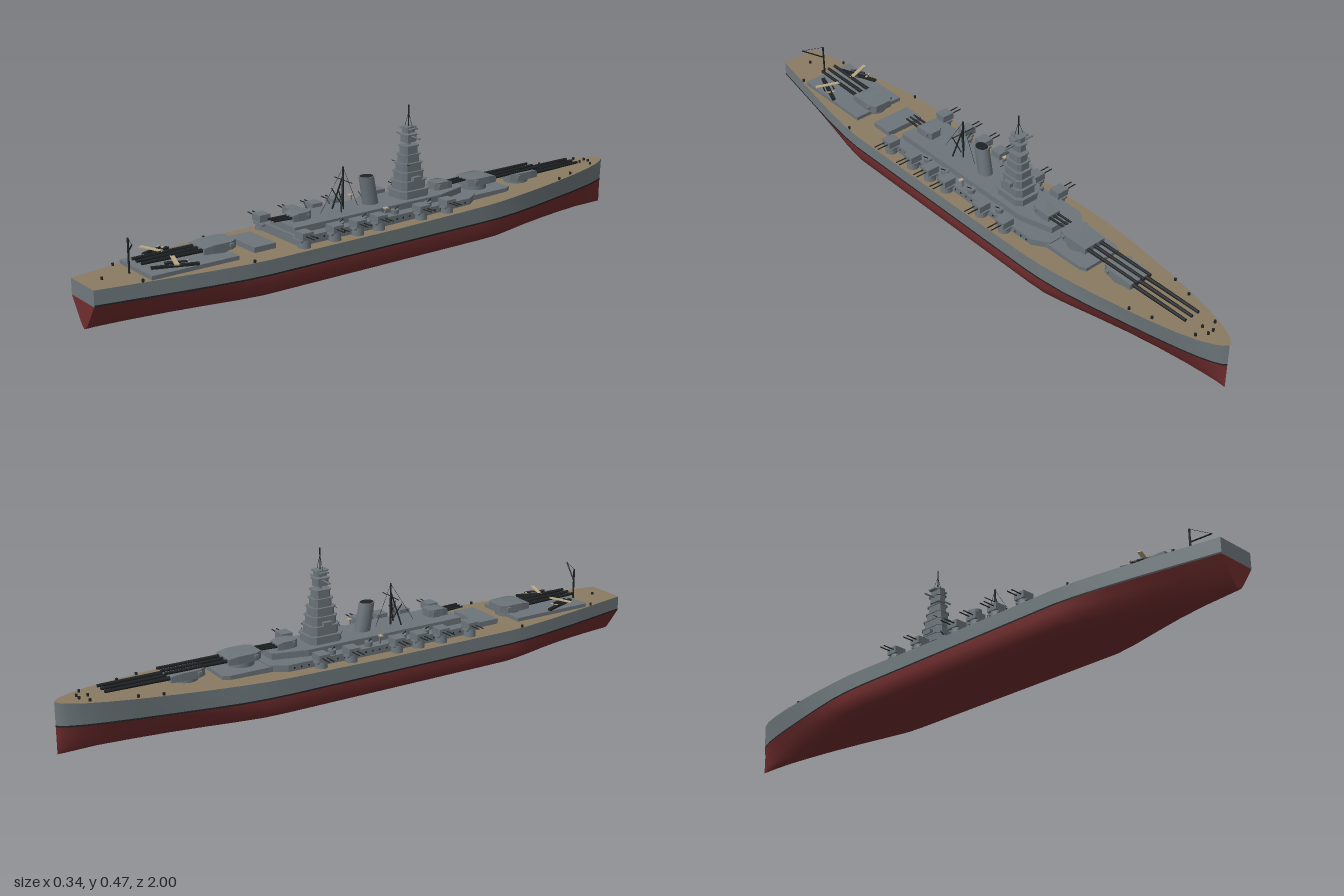
import * as THREE from 'three';

const mat = (name, color) => Object.assign(new THREE.MeshStandardMaterial({ color }), { name });

export function createModel() {
  const grey = mat('superstructure grey', 0x6c757b), hullGrey = mat('hull grey', 0x6f797d);
  const red = mat('antifouling red', 0x702d2e), wood = mat('deck wood', 0x8a7a62);
  const dark = mat('gunmetal black', 0x1f2224), tan = mat('aircraft tan', 0xb8a685);
  const ship = new THREE.Group();
  ship.name = 'battleship';

  const add = (name, geo, m, x = 0, y = 0, z = 0, parent = ship) => {
    const o = new THREE.Mesh(geo, m);
    o.name = name;
    o.position.set(x, y, z);
    parent.add(o);
    return o;
  };
  const group = (name, x, y, z, parent = ship) => {
    const g = new THREE.Group();
    g.name = name;
    g.position.set(x, y, z);
    parent.add(g);
    return g;
  };
  const box = (name, m, w, y0, y1, z0, z1, x = 0, parent = ship) =>
    add(name, new THREE.BoxGeometry(w, y1 - y0, z1 - z0), m, x, (y0 + y1) / 2, (z0 + z1) / 2, parent);
  // thin round bar between two points
  const rod = (name, a, b, r = 0.002, parent = ship, m = dark, r2 = r, sides = 8) => {
    const p = new THREE.Vector3(...a), q = new THREE.Vector3(...b), d = q.clone().sub(p);
    const o = add(name, new THREE.CylinderGeometry(r2, r, d.length(), sides), m, 0, 0, 0, parent);
    o.position.copy(p).add(q).multiplyScalar(0.5);
    o.quaternion.setFromUnitVectors(new THREE.Vector3(0, 1, 0), d.normalize());
    return o;
  };
  // vertical prism from half of a plan outline, [half width, z] listed bow to stern
  const prism = (name, m, half, y0, y1, parent = ship) => {
    const pts = [...half.map(([x, z]) => [x, -z]), ...half.slice().reverse().map(([x, z]) => [-x, -z])];
    const g = new THREE.ExtrudeGeometry(new THREE.Shape(pts.map(p => new THREE.Vector2(...p))),
      { depth: y1 - y0, bevelEnabled: false });
    g.rotateX(-Math.PI / 2);
    return add(name, g, m, 0, y0, 0, parent);
  };
  const chamfered = (w, z0, z1, c) => [[w - c, z0], [w, z0 + c], [w, z1 - c], [w - c, z1]];

  // ---- hull lofted through stations [z, half width]
  const stations = [[-1, 0.001], [-0.99, 0.015], [-0.97, 0.029], [-0.93, 0.048], [-0.87, 0.067], [-0.78, 0.088],
    [-0.68, 0.106], [-0.58, 0.122], [-0.48, 0.135], [-0.4, 0.143], [-0.33, 0.146], [0, 0.146], [0.48, 0.146],
    [0.56, 0.14], [0.66, 0.126], [0.76, 0.109], [0.88, 0.087], [1, 0.065]];
  const deckY = z => 0.131 + 0.027 * Math.pow(Math.max(0, (0.15 - z) / 1.15), 1.6);
  const waterW = (z, w) => w * (1 - 0.25 * Math.max(0, (-0.5 - z) / 0.5));
  const mid = [[1, 0.083], [1, 0.06], [0.96, 0.04], [0.87, 0.022], [0.7, 0.011], [0, 0.002]];
  const end = [[1, 0.083], [0.76, 0.06], [0.52, 0.037], [0.29, 0.016], [0.14, 0.005], [0, 0]];
  const bottom = (z, w) => {
    const k = THREE.MathUtils.clamp(Math.max((-0.4 - z) / 0.6, (z - 0.5) / 0.5), 0, 1);
    const side = mid.map(([fx, y], i) => [waterW(z, w) * THREE.MathUtils.lerp(fx, end[i][0], k),
      THREE.MathUtils.lerp(y, end[i][1], k)]);
    return [...side, ...side.slice(0, -1).reverse().map(([x, y]) => [-x, y])];
  };
  const loft = (name, m, section) => {
    const pos = [], idx = [];
    const n = section(...stations[0]).length;
    stations.forEach(([z, w], i) => {
      section(z, w).forEach(([x, y], j) => {
        pos.push(x, y, z);
        if (i && j) {
          const d = i * n + j, b = d - n;
          idx.push(b - 1, d - 1, b, b, d - 1, d);
        }
      });
    });
    const g = new THREE.BufferGeometry();
    g.setAttribute('position', new THREE.Float32BufferAttribute(pos, 3));
    g.setIndex(idx);
    g.computeVertexNormals();
    return add(name, g, m);
  };
  loft('lowerHull', red, bottom);
  loft('deck', wood, (z, w) => [[-w, deckY(z)], [w, deckY(z)]]);
  for (const s of [1, -1]) {
    const strip = (pts) => (s > 0 ? pts : pts.map(([x, y]) => [-x, y]).reverse());
    loft('hullSide', hullGrey, (z, w) => strip([[w, deckY(z)], [waterW(z, w), 0.088]]));
    loft('waterlineBand', dark, (z, w) => strip([[waterW(z, w), 0.088], [waterW(z, w), 0.083]]));
  }
  const flat = pts => new THREE.ShapeGeometry(new THREE.Shape(pts.map(p => new THREE.Vector2(...p))));
  add('transomLower', flat(bottom(1, 0.065)), red, 0, 0, 1);
  add('transomUpper', flat([[-0.065, 0.083], [0.065, 0.083], [0.065, 0.131], [-0.065, 0.131]]), hullGrey, 0, 0, 1);

  // ---- deckhouses
  prism('forwardDeckhouse', grey, [[0.065, -0.51], [0.075, -0.49], [0.075, -0.33], [0.06, -0.3]], 0.13, 0.154);
  prism('mainDeckhouse', grey, [[0.068, -0.36], [0.1, -0.31], [0.1, 0.35]], 0.125, 0.158);
  prism('upperDeckhouse', grey, [[0.035, -0.33], [0.065, -0.22], [0.065, 0.34]], 0.158, 0.178);
  box('aftPlatform', grey, 0.18, 0.125, 0.143, 0.55, 0.835);
  box('aftHatchHouse', grey, 0.136, 0.125, 0.148, 0.41, 0.485);
  const bead = new THREE.BoxGeometry(0.004, 0.005, 0.005);
  for (const s of [1, -1]) {
    for (let i = 0; i < 26; i++) add('deckhousePort', bead, dark, s * 0.099, 0.146, -0.29 + i * 0.025);
  }

  // ---- gun turrets; dir -1 points to the bow, +1 to the stern
  const turret = (name, z, base, deck, dir, k, r, len) => {
    const g = group(name, 0, base, z);
    if (dir > 0) g.rotation.y = Math.PI;
    add('barbette', new THREE.CylinderGeometry(0.04 * k, 0.04 * k, base - deck, 24), grey, 0, (deck - base) / 2, 0, g);
    const body = prism('gunhouse', grey, [[0.04, -0.06], [0.043, -0.03], [0.043, 0.03], [0.03, 0.052]]
      .map(([x, zz]) => [x * k, zz * k]), 0, 0.024, g);
    // slope the roof down towards the guns
    const p = body.geometry.attributes.position;
    for (let i = 0; i < p.count; i++) if (p.getY(i) > 0.01 && p.getZ(i) < -0.05 * k) p.setY(i, 0.019);
    body.geometry.computeVertexNormals();
    box('rangefinder', grey, 0.1 * k, 0.012, 0.02, 0.022 * k, 0.034 * k, 0, g);
    for (const x of [-0.026, 0, 0.026]) {
      rod('gunBarrel', [x * k, 0.011, -0.05 * k], [x * k, 0.013, -len], r, g, dark, r * 0.75, 10);
    }
  };
  turret('forwardTurret', -0.6, 0.155, 0.13, -1, 1, 0.0065, 0.26);
  turret('raisedForwardTurret', -0.415, 0.17, 0.14, -1, 1, 0.006, 0.26);
  turret('aftTurret', 0.575, 0.148, 0.13, 1, 1, 0.0065, 0.255);
  turret('forwardSecondaryTurret', -0.265, 0.178, 0.15, -1, 0.6, 0.004, 0.11);
  turret('aftSecondaryTurret', 0.28, 0.18, 0.15, 1, 0.6, 0.004, 0.1);

  // ---- twin mounts along both sides
  for (const s of [1, -1]) {
    for (const z of [-0.205, -0.1, 0.065, 0.145, 0.23, 0.34]) {
      const m = group('sideGunMount', s * 0.112, 0.158, z);
      add('pedestal', new THREE.CylinderGeometry(0.017, 0.02, 0.03, 14), grey, 0, -0.014, 0, m);
      box('sponson', grey, 0.05, -0.008, -0.002, -0.022, 0.022, -s * 0.012, m);
      box('gunShield', grey, 0.042, 0, 0.022, -0.019, 0.019, 0, m);
      for (const dz of [-0.008, 0.008]) rod('gunBarrel', [s * 0.018, 0.012, dz], [s * 0.06, 0.013, dz], 0.0018, m);
    }
    for (const z of [-0.15, -0.02, 0.105, 0.19]) {
      add('lightGunTub', new THREE.CylinderGeometry(0.013, 0.012, 0.014, 14), grey, s * 0.083, 0.165, z);
      rod('lightGun', [s * 0.083, 0.172, z], [s * 0.1, 0.186, z], 0.0015);
    }
    rod('directorPost', [s * 0.085, 0.158, 0.02], [s * 0.085, 0.186, 0.02], 0.003, ship, grey);
    box('director', tan, 0.014, 0.183, 0.187, 0.014, 0.026, s * 0.09);
  }

  // ---- pagoda tower: stacked tiers [half width, y0, y1]
  const tower = group('bridgeTower', 0, 0, -0.14);
  [[0.047, 0.178, 0.203], [0.04, 0.203, 0.232], [0.035, 0.232, 0.26], [0.031, 0.26, 0.287], [0.026, 0.287, 0.314],
    [0.022, 0.314, 0.341], [0.019, 0.351, 0.376], [0.016, 0.381, 0.4]].forEach(([w, y0, y1]) => {
    const d = w * 1.2;
    prism('towerTier', grey, chamfered(w - 0.002, -d, d, w * 0.35), y0, y1 - 0.004, tower);
    prism('tierGallery', grey, chamfered(w + 0.001, -d - 0.003, d + 0.003, w * 0.35), y1 - 0.004, y1, tower);
  });
  rod('towerCore', [0, 0.33, 0], [0, 0.39, 0], 0.006, tower, grey);
  rod('mainRangefinder', [-0.056, 0.369, 0], [0.056, 0.369, 0], 0.003, tower, grey);
  box('topPlatform', grey, 0.056, 0.392, 0.396, -0.014, 0.014, 0, tower);
  rod('topMast', [0, 0.4, 0], [0, 0.467, 0], 0.0018, tower);
  for (const s of [1, -1]) {
    rod('mastStay', [s * 0.017, 0.4, 0], [0, 0.445, 0], 0.0006, tower);
    rod('signalYard', [0, 0.286, 0.03], [s * 0.045, 0.286, 0.03], 0.001, tower);
    box('searchlightWing', grey, 0.02, 0.232, 0.245, -0.015, 0.015, s * 0.036, tower);
  }

  // ---- raked funnel
  const funnel = new THREE.CylinderGeometry(0.021, 0.022, 0.095, 28);
  funnel.scale(1, 1, 1.2);
  const fp = funnel.attributes.position;
  for (let i = 0; i < fp.count; i++) fp.setZ(i, fp.getZ(i) + 0.18 * fp.getY(i));
  funnel.computeVertexNormals();
  add('funnel', funnel, grey, 0, 0.22, 0.018);
  const cap = add('funnelMouth', new THREE.CylinderGeometry(0.018, 0.018, 0.003, 28), dark, 0, 0.267, 0.0265);
  cap.scale.z = 1.2;

  // ---- tripod main mast with yard and stays
  rod('mainMast', [0, 0.178, 0.115], [0, 0.312, 0.115], 0.0028);
  rod('mastYard', [-0.045, 0.27, 0.115], [0.045, 0.27, 0.115], 0.0014);
  for (const s of [1, -1]) {
    rod('mastLeg', [s * 0.023, 0.178, 0.14], [0, 0.285, 0.115], 0.0025);
    rod('mastBoom', [s * 0.004, 0.195, 0.12], [s * 0.018, 0.245, 0.145], 0.0018);
  }
  rod('foreStay', [0, 0.31, 0.115], [0, 0.18, 0.06], 0.0006);
  rod('aftStay', [0, 0.31, 0.115], [0, 0.18, 0.2], 0.0006);

  // ---- stern aircraft crane
  rod('cranePost', [0, 0.13, 0.855], [0, 0.235, 0.855], 0.003);
  rod('craneBoom', [0, 0.195, 0.855], [0.068, 0.237, 0.88], 0.0022);
  rod('craneCable', [0, 0.235, 0.855], [0.068, 0.237, 0.88], 0.0006);

  // ---- catapults and floatplanes
  for (const s of [1, -1]) {
    const c = group('catapult', s * 0.064, 0.143, 0.745);
    c.rotation.y = -s * 0.36;
    box('catapultRail', dark, 0.012, 0.001, 0.008, -0.068, 0.068, 0, c);
    rod('fuselage', [0, 0.015, -0.04], [0, 0.015, 0.03], 0.003, c, dark, 0.005);
    box('wing', tan, 0.085, 0.019, 0.022, -0.005, 0.008, 0, c);
    box('tailplane', tan, 0.024, 0.015, 0.017, -0.04, -0.034, 0, c);
    for (const dx of [-0.016, 0.016]) rod('float', [dx, 0.01, -0.015], [dx, 0.01, 0.025], 0.0025, c);
  }

  // ---- deck fittings
  const bollard = new THREE.CylinderGeometry(0.004, 0.004, 0.008, 10);
  for (const s of [1, -1]) {
    for (const [x, z] of [[0.01, -0.93], [0.04, -0.91], [0.075, -0.78], [0.094, -0.71], [0.138, 0.53], [0.085, 0.86]]) {
      add('bollard', bollard, dark, s * x, deckY(z) + 0.004, z);
    }
  }
  add('capstan', bollard, dark, 0, deckY(-0.9) + 0.004, -0.9);
  add('sternCapstan', bollard, dark, 0, 0.135, 0.94);
  return ship;
}
